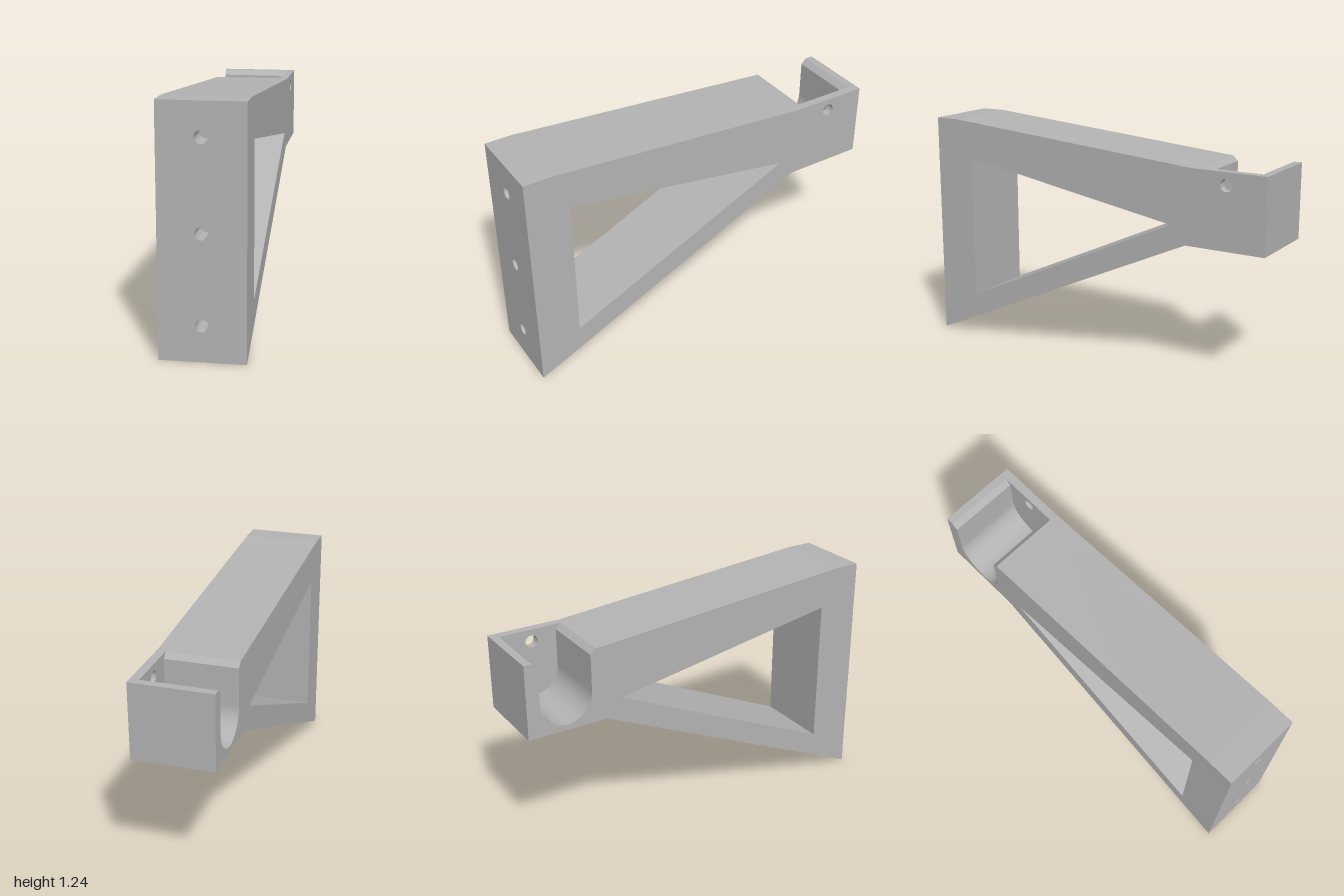
import * as THREE from 'three';
import { toCreasedNormals } from 'three/addons/utils/BufferGeometryUtils.js';

const HALF = 0.21;        // half the bracket's width
const WALL_X = 0.165;     // inner face of the closed side of the cradle
const PLATE_Z = 0.86;     // back of the drilled mounting plate
const TOP = 1.235;
const FOOT_Y = 0.064;     // height of the sloping underside at PLATE_Z
const SLOT = { s: 0.79, y: 0.89, r: 0.14 };

function circle(x, y, r) {
  return new THREE.Path().absarc(x, y, r, 0, Math.PI * 2, true);
}

// Side profile, drawn with s = -z and y up; the slot is cut from its top edge
function sideProfile(withSlot) {
  const p = new THREE.Shape();
  p.moveTo(-PLATE_Z, FOOT_Y);
  p.lineTo(0.57, 0.72);
  p.lineTo(1, 0.72);
  p.lineTo(1, 1.115);
  if (withSlot) {
    const { s, y, r } = SLOT;
    p.lineTo(s + r + 0.028, 1.115);
    p.lineTo(s + r, 1.087);
    p.lineTo(s + r, y);
    p.absarc(s, y, r, 0, -Math.PI, true);
    p.lineTo(s - r, 1.087);
    p.lineTo(s - r - 0.028, 1.115);
  }
  p.lineTo(0.6, 1.115);
  p.lineTo(-PLATE_Z, TOP);
  p.closePath();

  // Triangular window
  p.holes.push(new THREE.Path([
    new THREE.Vector2(-0.77, 0.237),
    new THREE.Vector2(-0.77, 1.025),
    new THREE.Vector2(0.485, 0.815),
  ]));
  // Pin hole through the closed wall
  if (!withSlot) p.holes.push(circle(0.787, 1.05, 0.033));
  return p;
}

function extrude(shape, depth) {
  return new THREE.ExtrudeGeometry(shape, { depth, bevelEnabled: false, curveSegments: 32 });
}

function sideSlab(withSlot, x0, x1) {
  const g = extrude(sideProfile(withSlot), x1 - x0);
  g.rotateY(Math.PI / 2);
  g.translate(x0, 0, 0);
  return g;
}

// Mounting plate with three blind screw holes and a sloping underside
function mountingPlate() {
  const p = new THREE.Shape();
  p.moveTo(-HALF, 0);
  p.lineTo(HALF, 0);
  p.lineTo(HALF, TOP);
  p.lineTo(-HALF, TOP);
  p.closePath();
  for (const y of [0.18, 0.625, 1.07]) p.holes.push(circle(0, y, 0.032));

  const g = extrude(p, 1 - PLATE_Z);
  g.translate(0, 0, PLATE_Z);
  const pos = g.attributes.position;
  for (let i = 0; i < pos.count; i++) {
    if (pos.getY(i) < 0.001 && pos.getZ(i) < PLATE_Z + 0.001) pos.setY(i, FOOT_Y);
  }
  return g;
}

export function createModel() {
  const model = new THREE.Group();
  model.name = 'wallBracket';
  const grey = new THREE.MeshStandardMaterial({ color: 0xb3b3b3 });
  grey.name = 'grey';

  const add = (name, geometry) => {
    const mesh = new THREE.Mesh(toCreasedNormals(geometry, Math.PI / 7), grey);
    mesh.name = name;
    model.add(mesh);
  };

  add('slottedArm', sideSlab(true, -HALF, WALL_X));
  add('closedSideWall', sideSlab(false, WALL_X, HALF));
  add('mountingPlate', mountingPlate());
  return model;
}
